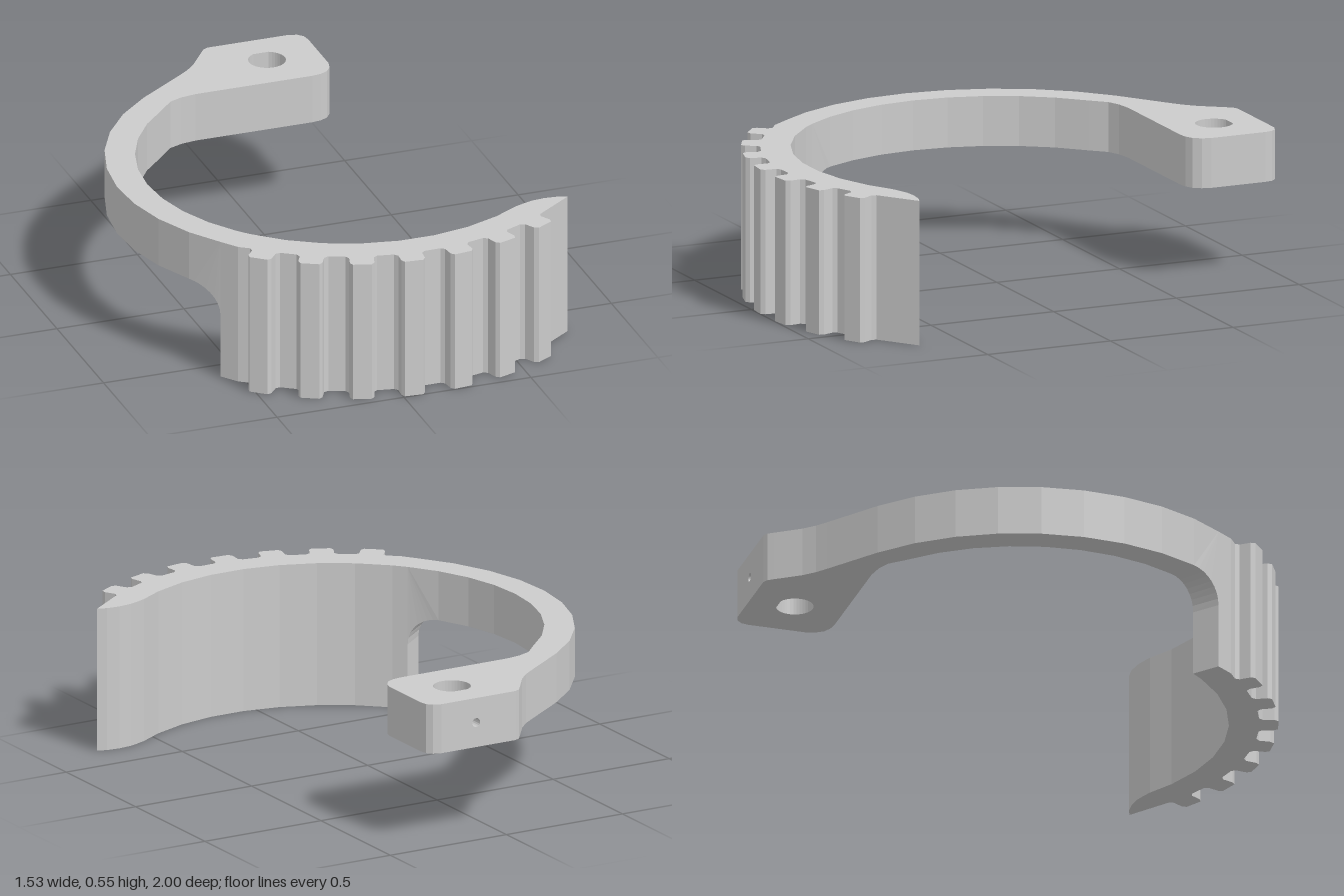
import * as THREE from 'three';

const CX = 0.12, CZ = 0.04;        // ring centre
const RI = 0.777, RO = 0.89;       // inner and outer radius
const TOP = 0.55, ARM = 0.36;      // top of everything, underside of the arm
const CUT = -51.3, FILLET = -60.6; // angles where the tall band ends and the arm begins

const material = new THREE.MeshStandardMaterial({ color: 0xcccccc });

// Plan point [x, z] at an angle in degrees from +z towards +x
function polar(deg, r) {
  const a = THREE.MathUtils.degToRad(deg);
  return [CX + r * Math.sin(a), CZ + r * Math.cos(a)];
}

function arc(r, from, to, n) {
  return Array.from({ length: n + 1 }, (_, i) => polar(from + (to - from) * i / n, r));
}

// Upright plate from a plan outline of [x, z] points
function plate(name, points, y0, y1) {
  const shape = new THREE.Shape(points.map(([x, z]) => new THREE.Vector2(x, -z)));
  const geo = new THREE.ExtrudeGeometry(shape, { depth: y1 - y0, bevelEnabled: false });
  geo.rotateX(-Math.PI / 2).translate(0, y0, 0);
  const mesh = new THREE.Mesh(geo, material);
  mesh.name = name;
  return mesh;
}

// Tall band with grip teeth and a pointed free end
function toothedBand() {
  const tooth = [[-3.8, 0.889], [-2.9, 0.902], [-2.75, 0.945], [-2.1, 0.96],
    [2.1, 0.96], [2.75, 0.945], [2.9, 0.902], [3.8, 0.889]];
  const pts = [polar(CUT, RO), polar(-46.3, 0.897)];
  for (let i = 0; i < 7; i++) {
    const mid = -39.6 + i * 11.65;
    for (const [da, r] of tooth) pts.push(polar(mid + da, r));
  }
  pts.push([0.765, 0.67], [0.73, 0.657], [0.68, 0.652], [0.63, 0.657], [0.59, 0.67]);
  pts.push(...arc(RI, 34, 26, 1), ...arc(RI, 15.6, -47, 6), polar(CUT, RI));
  return plate('toothedBand', pts, 0, TOP);
}

// Rounded step between band and arm: a side profile bent round the ring
function stepFillet() {
  const rad = THREE.MathUtils.degToRad;
  const shape = new THREE.Shape();
  shape.moveTo(rad(CUT), 0.25);
  shape.lineTo(rad(CUT), TOP);
  shape.lineTo(rad(FILLET), TOP);
  shape.lineTo(rad(FILLET), ARM);
  shape.bezierCurveTo(rad(-56), ARM, rad(CUT), 0.32, rad(CUT), 0.25);
  const geo = new THREE.ExtrudeGeometry(shape, { depth: RO - RI, bevelEnabled: false, curveSegments: 8 });
  const p = geo.attributes.position;
  for (let i = 0; i < p.count; i++) {
    const a = p.getX(i), r = RI + p.getZ(i);
    p.setXYZ(i, CX + r * Math.sin(a), p.getY(i), CZ + r * Math.cos(a));
  }
  geo.computeVertexNormals();
  const mesh = new THREE.Mesh(geo, material);
  mesh.name = 'stepFillet';
  return mesh;
}

// Pivot hole and the narrow slot behind it that holds the pin channel
const HX = 0.13, HZ = -0.825, HR = 0.07, SLOT = 0.03;
const slotZ = HZ - Math.sqrt(HR * HR - SLOT * SLOT);

// Curved arm ending in a mounting lug
function armWithLug() {
  const pts = [...arc(RO, FILLET, -143.3, 8),
    [-0.22, -0.81], [-0.18, -0.84], [-0.14, -0.88], [-0.075, -0.97], [-0.06, -0.99], [-0.04, -1],
    [HX - SLOT, -1]];
  const start = Math.asin(SLOT / HR);
  for (let i = 0; i <= 32; i++) {
    const a = start + (2 * Math.PI - 2 * start) * i / 32;
    pts.push([HX - HR * Math.sin(a), HZ - HR * Math.cos(a)]);
  }
  pts.push([HX + SLOT, -1], [0.28, -1], [0.31, -0.99], [0.328, -0.97], [0.334, -0.94],
    [0.334, -0.72], [0.325, -0.685], [0.305, -0.657], [0.275, -0.642], [0.24, -0.637],
    [-0.22, -0.637], [-0.28, -0.628], [-0.33, -0.608],
    ...arc(RI, -139.7, FILLET, 8));
  return plate('armWithLug', pts, ARM, TOP);
}

// Small block with a pin channel running from the rear face into the pivot hole
function pinChannel() {
  const h = (TOP - ARM) / 2;
  const shape = new THREE.Shape([[-SLOT, -h], [SLOT, -h], [SLOT, h], [-SLOT, h]]
    .map(([x, y]) => new THREE.Vector2(x, y)));
  shape.holes.push(new THREE.Path().absarc(0, 0, 0.017, 0, Math.PI * 2, true));
  const geo = new THREE.ExtrudeGeometry(shape, { depth: slotZ + 1, bevelEnabled: false, curveSegments: 8 });
  const mesh = new THREE.Mesh(geo, material);
  mesh.position.set(HX, ARM + h, -1);
  mesh.name = 'pinChannel';
  return mesh;
}

export function createModel() {
  const group = new THREE.Group();
  group.name = 'toothedClip';
  group.add(toothedBand(), stepFillet(), armWithLug(), pinChannel());
  return group;
}
